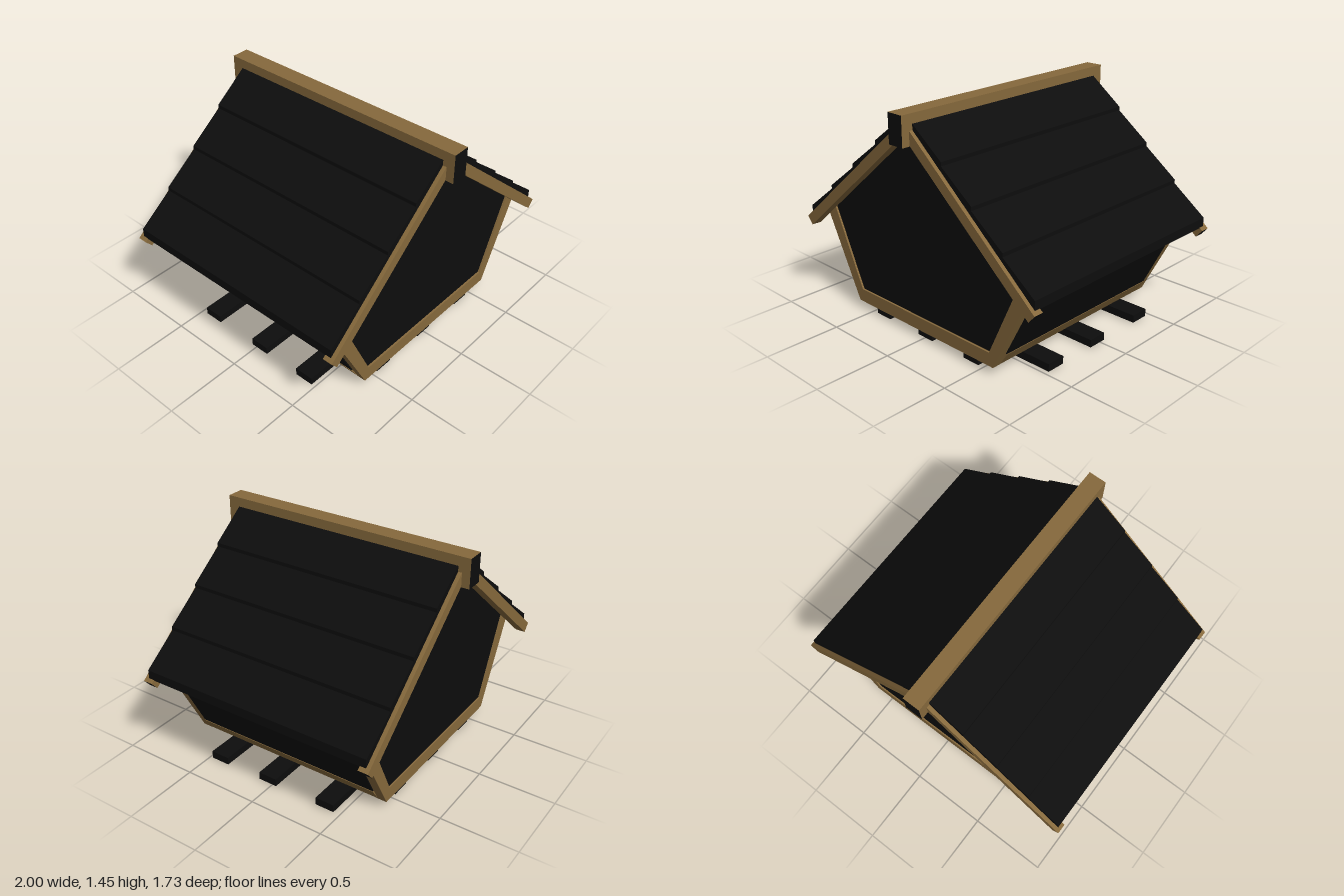
import * as THREE from 'three';

export function createModel() {
  const model = new THREE.Group();
  model.name = 'shelter';
  const trim = new THREE.MeshStandardMaterial({ color: 0x86693c });
  trim.name = 'brown timber';
  const dark = new THREE.MeshStandardMaterial({ color: 0x0d0d0d });
  dark.name = 'black boards';

  const add = (parent, name, geometry, material) => {
    const mesh = new THREE.Mesh(geometry, material);
    mesh.name = name;
    parent.add(mesh);
    return mesh;
  };
  const box = (parent, name, w, h, d, x, y, z, material) => {
    const mesh = add(parent, name, new THREE.BoxGeometry(w, h, d), material);
    mesh.position.set(x, y, z);
    return mesh;
  };
  // Cross-section in x, y drawn out from z0 to z1
  const prism = (parent, name, points, z0, z1, material) => {
    const shape = new THREE.Shape(points.map(([x, y]) => new THREE.Vector2(x, y)));
    const geometry = new THREE.ExtrudeGeometry(shape, { depth: z1 - z0, bevelEnabled: false });
    geometry.translate(0, 0, z0);
    return add(parent, name, geometry, material);
  };
  // Completes a right-hand outline with its mirror image
  const mirrored = (half) => [...half, ...half.map(([x, y]) => [-x, y]).reverse()];

  // Crossed skids under the floor
  for (const x of [-0.4, 0, 0.4]) box(model, 'longSkid', 0.125, 0.05, 1.37, x, 0.025, 0.015, dark);
  for (const z of [0.413, 0.032, -0.394]) box(model, 'crossSkid', 1.62, 0.05, 0.127, 0, 0.03, z, dark);

  // Floor with sloping sills
  prism(model, 'floorSill', mirrored([[0.607, 0.054], [0.664, 0.14]]), -0.636, 0.666, trim);

  // Gable walls and the body behind them
  prism(model, 'body', mirrored([[0.6, 0.1], [0.645, 0.14], [0.89, 0.63], [0.02, 1.38]]), -0.687, 0.712, dark);

  // U-shaped corner frames at the front and back
  const frame = [[0.607, 0.053], [0.905, 0.637], [0.833, 0.698], [0.575, 0.14]];
  for (const [z0, z1] of [[0.665, 0.725], [-0.697, -0.635]])
    prism(model, 'gableFrame', mirrored(frame), z0, z1, trim);

  // Side walls between the corner posts
  for (const s of [1, -1]) {
    const wall = [[0.63, 0.14], [0.66, 0.14], [0.893, 0.607], [0.85, 0.65]];
    prism(model, 'sideWall', wall.map(([x, y]) => [s * x, y]), -0.635, 0.665, dark);
  }

  // Roof slopes: four lapped boards and two barge boards on each side
  const pitch = Math.atan(0.846);
  const underside = (x) => 0.556 + (1 - x) * 0.848;
  for (const side of ['left', 'right']) {
    const slope = new THREE.Group();
    slope.name = side + 'RoofSlope';
    if (side === 'right') slope.rotation.y = Math.PI;
    model.add(slope);
    for (let i = 0; i < 4; i++) {
      const outer = 0.978 - i * 0.2315;
      const inner = i < 3 ? outer - 0.2315 : 0.04;
      prism(slope, 'roofBoard', [
        [outer, underside(outer)],
        [outer, underside(outer) + 0.06],
        [inner, underside(inner) + 0.036],
        [inner, underside(inner)],
      ], -0.79, 0.79, dark);
    }
    for (const z of [0.7825, -0.7825]) {
      const length = 0.9475 / Math.cos(pitch);
      const barge = box(slope, 'bargeBoard', length, 0.066, 0.065, 0.504, 0.936, z,
        [dark, trim, trim, trim, trim, trim]);
      barge.rotation.z = -pitch;
    }
  }

  // Ridge beam with dark cut ends
  box(model, 'ridgeBeam', 0.114, 0.187, 1.734, 0, 1.361, 0, [trim, trim, trim, trim, dark, dark]);

  return model;
}
